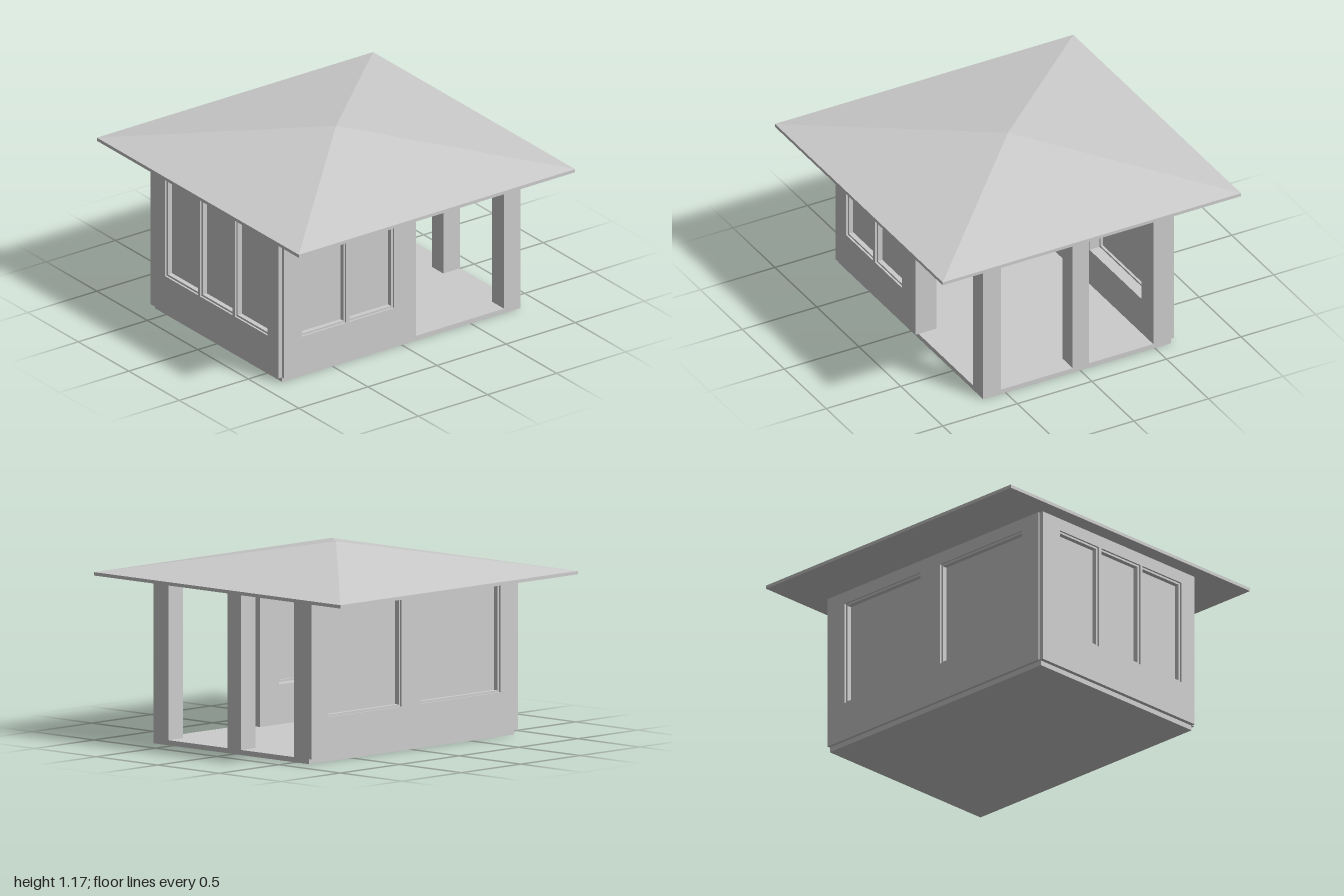
import * as THREE from 'three';

const plaster = new THREE.MeshStandardMaterial({ color: 0xcccccc });
plaster.name = 'pale grey';

const WALL_BOTTOM = 0.03, WALL_TOP = 0.98, THICK = 0.14;
const SILL = 0.265, HEAD = 0.905, FRAME = 0.012;

// Box given by its minimum and maximum corners
function box(name, x0, x1, y0, y1, z0, z1) {
  const mesh = new THREE.Mesh(new THREE.BoxGeometry(x1 - x0, y1 - y0, z1 - z0), plaster);
  mesh.position.set((x0 + x1) / 2, (y0 + y1) / 2, (z0 + z1) / 2);
  mesh.name = name;
  return mesh;
}

function rectangle(Type, a, b, y0, y1) {
  return new Type([[a, y0], [b, y0], [b, y1], [a, y1]].map(([x, y]) => new THREE.Vector2(x, y)));
}

function slab(name, shape, depth, front) {
  const geometry = new THREE.ExtrudeGeometry(shape, { depth, bevelEnabled: false });
  const mesh = new THREE.Mesh(geometry, plaster);
  mesh.position.z = front - depth;
  mesh.name = name;
  return mesh;
}

// Wall from a to b with its outer face on local z = 0, and windows as [start, end] pairs
function wall(name, a, b, windows) {
  const group = new THREE.Group();
  group.name = name;
  const shape = rectangle(THREE.Shape, a, b, WALL_BOTTOM, WALL_TOP);
  for (const [s, e] of windows) {
    shape.holes.push(rectangle(THREE.Path, s, e, SILL, HEAD));
    const ring = rectangle(THREE.Shape, s, e, SILL, HEAD);
    ring.holes.push(rectangle(THREE.Path, s + FRAME, e - FRAME, SILL + FRAME, HEAD - FRAME));
    group.add(slab('windowFrame', ring, 0.06, -0.012));
    const pane = rectangle(THREE.Shape, s + FRAME, e - FRAME, SILL + FRAME, HEAD - FRAME);
    group.add(slab('windowPane', pane, 0.015, -0.042));
  }
  group.add(slab(name + 'Panel', shape, THICK, 0));
  return group;
}

export function createModel() {
  const model = new THREE.Group();
  model.name = 'pavilion';

  // Floor and ceiling
  model.add(box('floor', -0.865, 0.86, 0, 0.03, -0.61, 0.65));
  model.add(box('ceiling', -0.865, 0.86, 0.96, WALL_TOP, -0.61, 0.65));

  // Front wall with a pair of windows
  const front = wall('frontWall', -0.865, 0.09, [[-0.74, -0.416], [-0.394, -0.07]]);
  front.position.z = 0.67;
  model.add(front);

  // Back wall with two wide windows; local x runs along -x
  const back = wall('backWall', -0.86, 0.865, [[-0.72, -0.1], [0.06, 0.73]]);
  back.rotation.y = Math.PI;
  back.position.z = -0.63;
  model.add(back);

  // Side wall with three windows; local x runs along +z
  const sideWindows = [0, 1, 2].map((i) => [-0.475 + i * 0.345, -0.15 + i * 0.345]);
  const side = wall('leftSideWall', -0.62, 0.65, sideWindows);
  side.rotation.y = -Math.PI / 2;
  side.position.x = -0.89;
  model.add(side);

  // Posts of the open side
  model.add(box('cornerPost', 0.74, 0.86, 0.03, 0.96, 0.53, 0.65));
  model.add(box('middlePost', 0.74, 0.86, 0.03, 0.96, -0.06, 0.05));

  // Hollow pyramid roof with a thin eave edge
  const profile = [[0, 1.148], [Math.SQRT2, 0.97], [Math.SQRT2, 0.99], [0, 1.168]];
  const roofGeometry = new THREE.LatheGeometry(
    profile.map(([r, y]) => new THREE.Vector2(r, y)), 4, Math.PI / 4).toNonIndexed();
  roofGeometry.computeVertexNormals();
  const roof = new THREE.Mesh(roofGeometry, plaster);
  roof.name = 'roof';
  model.add(roof);

  return model;
}
